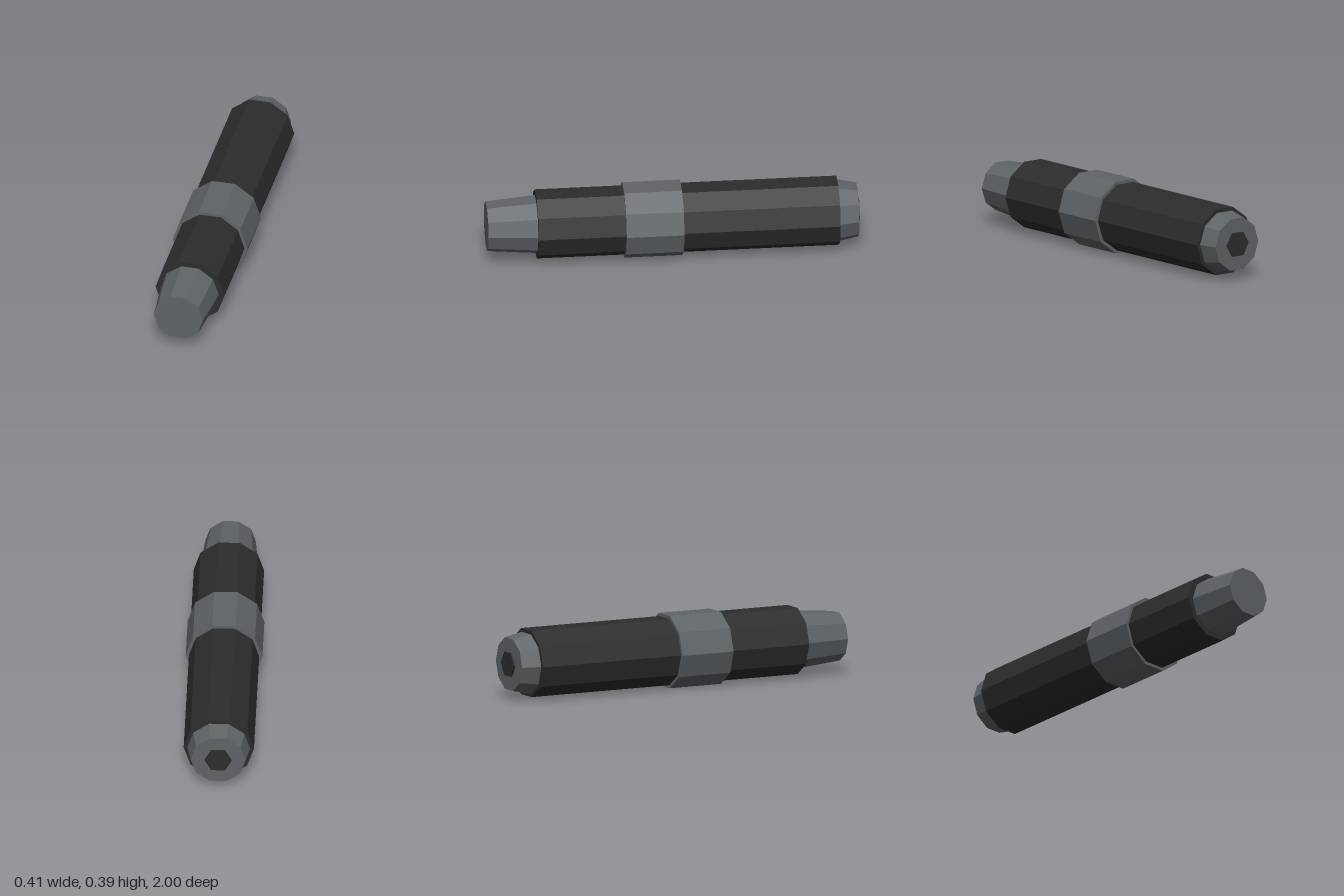
import * as THREE from 'three';

const AXIS_Y = 0.195;

export function createModel() {
  const group = new THREE.Group();
  const grey = new THREE.MeshStandardMaterial({ color: 0x5f6467, flatShading: true });
  grey.name = 'steel grey';
  const dark = new THREE.MeshStandardMaterial({ color: 0x2d2d2d, flatShading: true });
  dark.name = 'dark grip';

  // Faceted section along z, with corners on the left and right
  function section(name, material, zBack, zFront, rBack, rFront, sides = 10) {
    const geometry = new THREE.CylinderGeometry(
      rFront, rBack, zFront - zBack, sides, 1, false, Math.PI / 2);
    geometry.rotateX(Math.PI / 2);
    const mesh = new THREE.Mesh(geometry, material);
    mesh.name = name;
    mesh.position.set(0, AXIS_Y, (zFront + zBack) / 2);
    group.add(mesh);
  }

  section('frontTip', grey, 0.735, 1, 0.158, 0.135);
  section('frontGrip', dark, 0.265, 0.735, 0.188, 0.188);
  section('collar', grey, -0.045, 0.265, 0.205, 0.205);
  section('rearGrip', dark, -0.885, -0.045, 0.188, 0.188);
  section('rearCap', grey, -0.99, -0.885, 0.147, 0.168);
  section('rearButton', dark, -1, -0.99, 0.073, 0.073, 6);

  return group;
}
